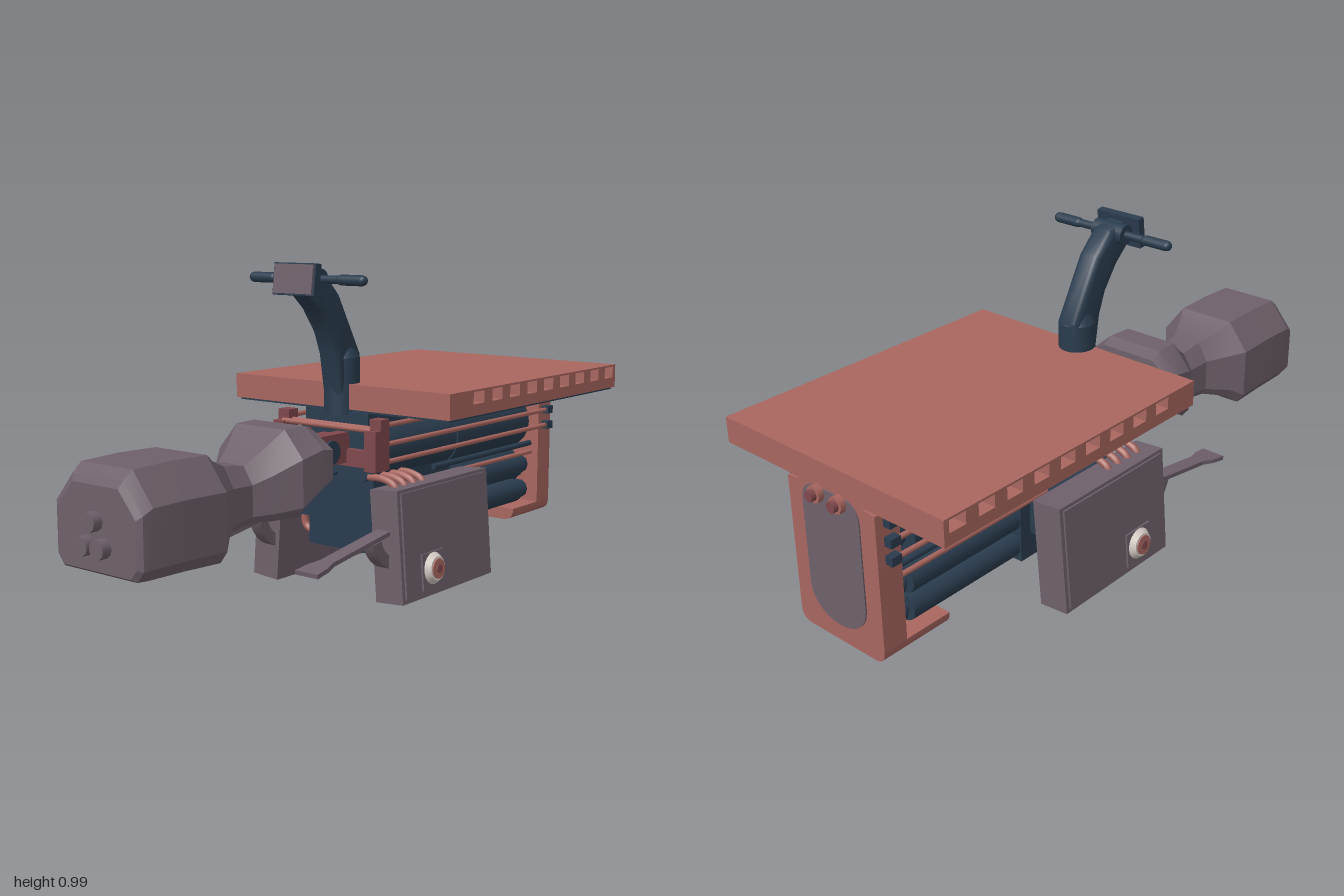
import * as THREE from 'three';
import { toCreasedNormals } from 'three/addons/utils/BufferGeometryUtils.js';

const mat = (name, color) => {
  const m = new THREE.MeshStandardMaterial({ color });
  m.name = name;
  return m;
};

export function createModel() {
  const root = new THREE.Group();
  root.name = 'hoverCart';
  const salmon = mat('salmon', 0xa8665f), mauve = mat('mauve', 0x6e606b), navy = mat('navy', 0x2a3c4e);
  const maroon = mat('maroon', 0x80484c), ivory = mat('ivory', 0xd6ccc6);

  const add = (name, geo, m, p = [0, 0, 0], parent = root) => {
    const mesh = new THREE.Mesh(geo, m);
    mesh.name = name;
    mesh.position.set(...p);
    parent.add(mesh);
    return mesh;
  };
  // Box given by its minimum and maximum on each axis
  const box = (name, m, x0, x1, y0, y1, z0, z1, parent) =>
    add(name, new THREE.BoxGeometry(x1 - x0, y1 - y0, Math.abs(z1 - z0)), m,
      [(x0 + x1) / 2, (y0 + y1) / 2, (z0 + z1) / 2], parent);
  // Cylinder lying along x or z
  const rodX = (name, m, x0, x1, y, z, r, n = 16) =>
    add(name, new THREE.CylinderGeometry(r, r, x1 - x0, n).rotateZ(Math.PI / 2), m, [(x0 + x1) / 2, y, z]);
  const rodZ = (name, m, x, y, z, len, r, parent, n = 20) =>
    add(name, new THREE.CylinderGeometry(r, r, len, n).rotateX(Math.PI / 2), m, [x, y, z], parent);
  const tube = (name, m, pts, r, parent) =>
    add(name, new THREE.TubeGeometry(new THREE.CatmullRomCurve3(pts.map(p => new THREE.Vector3(...p))), 16, r, 8), m, undefined, parent);
  const polygon = pts => new THREE.Shape(pts.map(p => new THREE.Vector2(...p)));
  // Side profile in x and y, centred on z
  const slab = (shape, width, bevel = 0) => toCreasedNormals(new THREE.ExtrudeGeometry(shape, {
    depth: width - 2 * bevel, bevelEnabled: bevel > 0, bevelSize: bevel, bevelThickness: bevel,
    bevelOffset: -bevel, bevelSegments: 4, curveSegments: 10,
  }).translate(0, 0, -width / 2 + bevel), 0.6);
  // End profile in z and y, extruded along x
  const endPlate = (shape, x0, x1) => toCreasedNormals(
    new THREE.ExtrudeGeometry(shape, { depth: x1 - x0, bevelEnabled: false, curveSegments: 12 })
      .rotateY(Math.PI / 2).translate(x0, 0, 0), 0.6);

  // Deck with a row of slots running across it
  const deck = polygon([[-0.02, 0.556], [0.965, 0.556], [0.965, 0.632], [-0.02, 0.632]]);
  for (let i = 0; i < 9; i++) {
    const x = 0.1 + i * 0.099;
    deck.holes.push(new THREE.Path([[x, 0.59], [x, 0.626], [x + 0.056, 0.626], [x + 0.056, 0.59]]
      .map(p => new THREE.Vector2(...p))));
  }
  add('deck', slab(deck, 0.82), salmon);
  box('deckUnderside', navy, -0.01, 0.955, 0.549, 0.556, -0.4, 0.4);

  // End frame with rounded lower corners, foot and inset panel
  const frameShape = bottomOnly => {
    const s = new THREE.Shape();
    s.moveTo(-0.125, 0.1);
    s.lineTo(0.125, 0.1);
    s.quadraticCurveTo(0.165, 0.1, 0.165, 0.14);
    if (bottomOnly) s.lineTo(-0.165, 0.14);
    else [[0.165, 0.545], [0.13, 0.548], [0.08, 0.577], [-0.08, 0.577], [-0.13, 0.548], [-0.165, 0.545], [-0.165, 0.14]]
      .forEach(p => s.lineTo(...p));
    s.quadraticCurveTo(-0.165, 0.1, -0.125, 0.1);
    return s;
  };
  add('endFrame', endPlate(frameShape(false), 0.885, 0.964), salmon);
  add('endFoot', endPlate(frameShape(true), 0.73, 0.885), salmon);
  const panel = new THREE.Shape();
  panel.moveTo(-0.108, 0.24);
  panel.bezierCurveTo(-0.1, 0.125, 0.1, 0.125, 0.108, 0.24);
  panel.lineTo(0.108, 0.5);
  panel.quadraticCurveTo(0.105, 0.55, 0.06, 0.555);
  panel.lineTo(-0.06, 0.555);
  panel.quadraticCurveTo(-0.105, 0.55, -0.108, 0.5);
  add('endPanel', endPlate(panel, 0.962, 0.968), mauve);
  for (const z of [-0.042, 0.042]) {
    rodX('lampRing', salmon, 0.96, 0.985, 0.54, z, 0.025, 8);
    rodX('lampStem', maroon, 0.985, 1.0, 0.54, z, 0.016, 8);
  }

  // Engine core between deck and panniers
  box('coreTop', navy, -0.02, 0.885, 0.48, 0.55, -0.12, 0.12);
  box('coreBlock', navy, 0, 0.4, 0.12, 0.36, -0.125, 0.125);
  rodX('coreSpine', navy, 0.3, 0.885, 0.25, 0, 0.09, 20);
  for (const s of [-1, 1]) {
    rodX('mainCylinder', navy, -0.02, 0.83, 0.43, s * 0.065, 0.095, 20);
    rodX('cylinderCollar', navy, 0.39, 0.43, 0.43, s * 0.065, 0.1, 20);
    rodX('cylinderStem', navy, 0.83, 0.885, 0.42, s * 0.065, 0.06);
    for (const [y, r] of [[0.27, 0.042], [0.182, 0.04]]) {
      rodX('lowerCylinder', navy, 0.42, 0.83, y, s * 0.1, r);
      rodX('lowerRod', navy, 0.38, 0.885, y, s * 0.1, 0.018, 10);
      rodX('rodCollar', navy, 0.845, 0.875, y, s * 0.1, 0.032, 10);
    }
    rodX('fuelLine', salmon, 0.3, 0.885, 0.315, s * 0.135, 0.008, 8);
    rodX('darkLine', navy, 0.3, 0.885, 0.345, s * 0.13, 0.01, 8);

    // Guide rails and their end stops
    for (const y of [0.52, 0.463, 0.41]) {
      rodX('guideRail', salmon, -0.04, 0.92, y, s * 0.178, 0.008, 8);
      box('railStop', navy, 0.905, 0.938, y - 0.013, y + 0.013, s * 0.163, s * 0.19);
    }
    box('railBracket', maroon, -0.085, -0.018, 0.39, 0.51, s * 0.155, s * 0.197);
    box('railBracketHorn', maroon, -0.06, -0.018, 0.51, 0.542, s * 0.155, s * 0.197);
    box('neckBracket', maroon, -0.23, -0.075, 0.41, 0.5, s * 0.05, s * 0.09);
  }

  // Neck joining the nose to the core
  box('neckBeam', maroon, -0.26, -0.015, 0.42, 0.48, -0.05, 0.05);
  box('neckCross', maroon, -0.085, -0.06, 0.4, 0.45, -0.17, 0.17);
  for (const x of [-0.07, -0.04])
    rodZ('crossBar', salmon, x, 0.51, 0, 0.34, 0.008, root, 8);
  rodZ('neckPivot', navy, -0.16, 0.45, 0, 0.2, 0.035);

  // Faceted waisted nose lofted from [x, bottom, top, half width]
  const sections = [
    [-0.965, 0.25, 0.47, 0.145], [-0.955, 0.243, 0.49, 0.16], [-0.925, 0.242, 0.514, 0.165],
    [-0.8, 0.24, 0.518, 0.165], [-0.67, 0.235, 0.515, 0.165], [-0.63, 0.265, 0.49, 0.135],
    [-0.56, 0.285, 0.463, 0.085], [-0.48, 0.295, 0.453, 0.08], [-0.43, 0.295, 0.485, 0.11],
    [-0.36, 0.3, 0.542, 0.158], [-0.28, 0.355, 0.543, 0.166], [-0.24, 0.375, 0.525, 0.166],
  ];
  const half = [[0.58, 1], [1, 0.68], [1, 0.12], [0.85, 0]];
  const ring = [...half, ...half.slice().reverse().map(([z, y]) => [-z, y])];
  const pos = [], idx = [], n = ring.length;
  sections.forEach(([x, b, t, w], i) => ring.forEach(([z, y], j) => {
    pos.push(x, b + (t - b) * y, z * w);
    if (i === sections.length - 1) return;
    const a = i * n + j, c = i * n + (j + 1) % n;
    idx.push(a, c, a + n, c, c + n, a + n);
  }));
  const last = (sections.length - 1) * n;
  for (let j = 1; j < n - 1; j++) idx.push(0, j + 1, j, last, last + j, last + j + 1);
  const nose = new THREE.BufferGeometry();
  nose.setAttribute('position', new THREE.Float32BufferAttribute(pos, 3));
  nose.setIndex(idx);
  add('nose', toCreasedNormals(nose, 0.35), mauve);
  for (const [y, z] of [[0.38, 0], [0.315, 0.03], [0.315, -0.03]])
    rodX('noseLamp', mauve, -0.993, -0.955, y, z, 0.026, 10);
  for (let i = 0; i < 5; i++) {
    const x = -0.45 + i * 0.036, y = 0.325 + i * 0.009;
    tube('noseHose', salmon, [[x, y + 0.03, -0.09], [x - 0.005, y - 0.005, -0.06], [x, y - 0.015, 0],
      [x - 0.005, y - 0.005, 0.06], [x, y + 0.03, 0.09]], 0.009);
  }

  // Steering column, head and handlebar
  add('columnBase', new THREE.CylinderGeometry(0.054, 0.054, 0.17, 20), navy, [0.005, 0.625, 0]);
  add('columnCollar', new THREE.CylinderGeometry(0.036, 0.054, 0.035, 20), navy, [0.003, 0.727, 0]);
  add('column', slab(polygon([[-0.045, 0.6], [0.05, 0.6], [0.055, 0.72], [-0.045, 0.9], [-0.11, 0.965], [-0.17, 0.98],
    [-0.19, 0.9], [-0.14, 0.855], [-0.09, 0.785], [-0.065, 0.72]]), 0.076, 0.02), navy);
  const head = new THREE.Group();
  head.name = 'steeringHead';
  head.position.set(-0.2, 0.947, 0);
  head.rotation.z = -0.12;
  root.add(head);
  box('headShell', navy, -0.012, 0.012, -0.046, 0.046, -0.078, 0.078, head);
  box('headFace', mauve, -0.018, -0.012, -0.042, 0.042, -0.072, 0.072, head);
  rodZ('handlebar', navy, -0.155, 0.947, 0, 0.4, 0.012);
  rodZ('handlebarHub', navy, -0.155, 0.947, 0, 0.11, 0.03);
  for (const s of [-1, 1])
    add('grip', new THREE.CapsuleGeometry(0.0155, 0.075, 4, 12).rotateX(Math.PI / 2), navy, [-0.155, 0.947, s * 0.165]);

  // Panniers, badges, hoses and pedals on both sides
  for (const s of [-1, 1]) {
    const side = new THREE.Group();
    side.name = s > 0 ? 'leftPannier' : 'rightPannier';
    side.position.set(0.16, 0.174, s * 0.231);
    side.rotation.x = -s * 0.075;
    root.add(side);
    box('case', mauve, -0.235, 0.235, -0.168, 0.168, -0.049, 0.049, side);
    box('caseLid', mauve, -0.222, 0.222, -0.155, 0.158, s * 0.049, s * 0.055, side);
    box('badgePlate', mauve, -0.145, -0.035, -0.145, -0.035, s * 0.055, s * 0.061, side);
    const badge = new THREE.CylinderGeometry(0.036, 0.05, 0.018, 24).rotateX(s * Math.PI / 2);
    add('badge', badge, ivory, [-0.09, -0.085, s * 0.068], side);
    rodZ('badgeRing', salmon, -0.09, -0.085, s * 0.078, 0.006, 0.03, side);
    rodZ('badgeCore', maroon, -0.09, -0.085, s * 0.081, 0.006, 0.014, side, 6);
    for (let i = 0; i < 4; i++) {
      const x = -0.015 + i * 0.045;
      tube('upperHose', salmon, [[x, 0.36, s * 0.12], [x, 0.36, s * 0.17], [x, 0.347, s * 0.21], [x, 0.325, s * 0.225]], 0.011);
      tube('lowerHose', salmon, [[x + 0.05, 0.24, s * 0.11], [x + 0.05, 0.21, s * 0.165],
        [x + 0.05, 0.165, s * 0.168], [x + 0.05, 0.14, s * 0.11]], 0.012);
    }
    box('pannierMount', navy, 0.02, 0.36, 0.2, 0.31, s * 0.12, s * 0.19);

    // Pedal outline drawn from above, then tilted up toward its hinge
    const outline = polygon([[0, -0.04], [0.05, -0.036], [0.09, -0.024], [0.35, -0.024],
      [0.35, 0.024], [0.09, 0.024], [0.05, 0.036], [0, 0.04]]);
    const pedal = add('pedal', new THREE.ExtrudeGeometry(outline, { depth: 0.013, bevelEnabled: false })
      .rotateX(-Math.PI / 2), mauve, [-0.42, 0.158, s * 0.22]);
    pedal.rotation.z = 0.15;
    const strut = new THREE.Shape();
    strut.moveTo(-0.15, 0.195);
    strut.quadraticCurveTo(-0.125, 0.13, -0.07, 0.11);
    strut.lineTo(-0.07, 0.15);
    strut.quadraticCurveTo(-0.1, 0.165, -0.11, 0.2);
    add('pedalStrut', slab(strut, 0.04), mauve, [0, 0, s * 0.22]);
  }
  return root;
}
